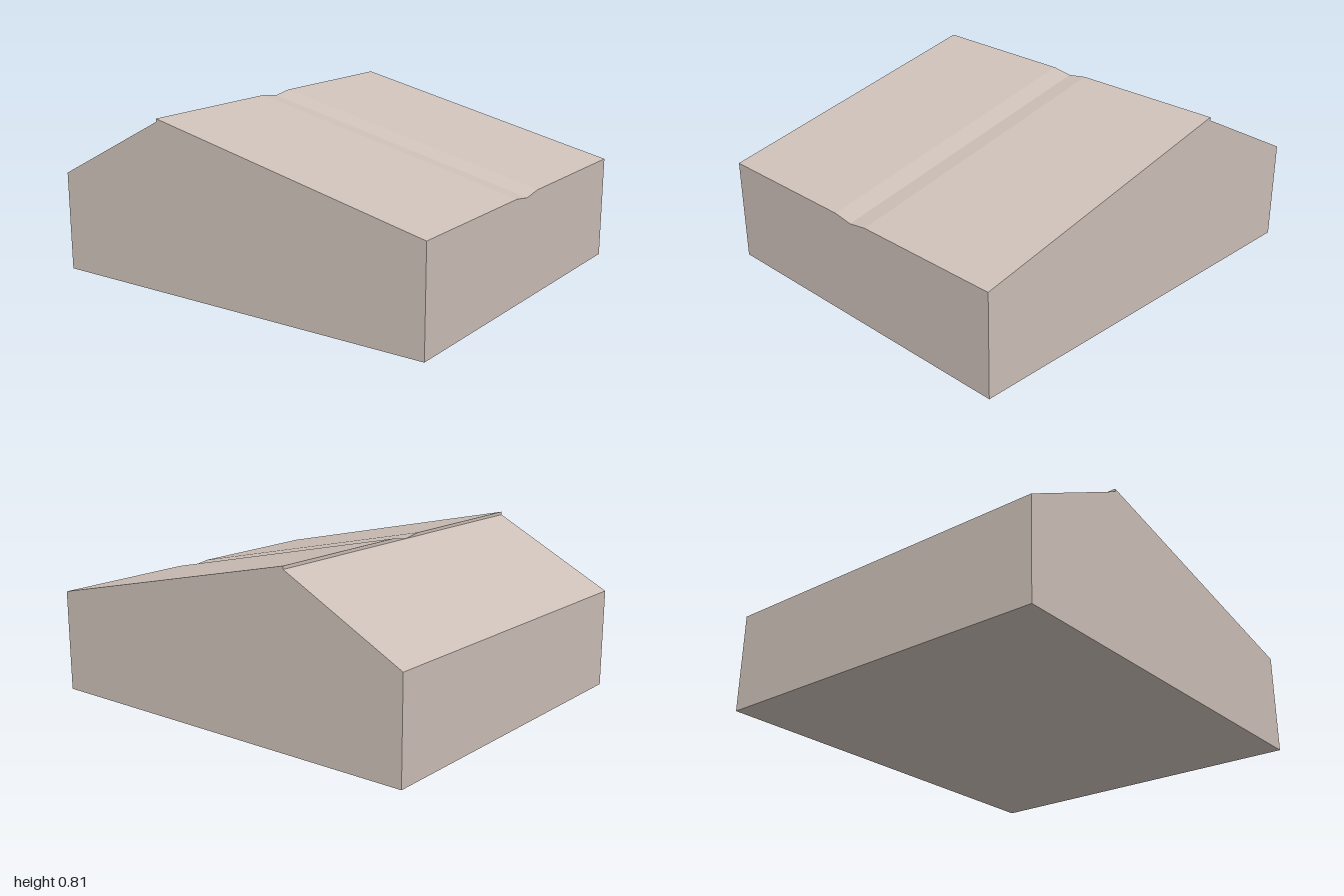
import * as THREE from 'three';

const HALF_Z = 0.85, RIDGE_X = -0.4, RIDGE_Y = 0.81, EAVE_Y = 0.495, STEP = 0.015;

function extrude(points, depth) {
  const shape = new THREE.Shape(points.map(([x, y]) => new THREE.Vector2(x, y)));
  return new THREE.ExtrudeGeometry(shape, { depth, bevelEnabled: false });
}

export function createModel() {
  const model = new THREE.Group();
  const stone = new THREE.MeshStandardMaterial({ color: 0xcdc0b8 });
  stone.name = 'warm grey';

  function add(name, geometry) {
    const mesh = new THREE.Mesh(geometry, stone);
    mesh.name = name;
    model.add(mesh);
  }

  // Short steep side, meeting the ridge one small step below its top
  const steep = extrude([
    [-1, 0], [RIDGE_X, 0], [RIDGE_X, RIDGE_Y - STEP], [-1, EAVE_Y - STEP],
  ], 2 * HALF_Z);
  steep.translate(0, 0, -HALF_Z);
  add('steepSide', steep);

  // Long gentle side: grooved cross-section run along x
  const length = 1 - RIDGE_X;
  const gentle = extrude([
    [-HALF_Z, 0], [HALF_Z, 0], [HALF_Z, EAVE_Y], [0.1, EAVE_Y],
    [0, EAVE_Y - STEP], [-0.1, EAVE_Y], [-HALF_Z, EAVE_Y],
  ], length);
  gentle.rotateY(Math.PI / 2);
  gentle.translate(RIDGE_X, 0, 0);

  // Raise the top edge towards the ridge
  const pos = gentle.attributes.position;
  for (let i = 0; i < pos.count; i++) {
    if (pos.getY(i) > 0.1) {
      const rise = (RIDGE_Y - EAVE_Y) * (1 - pos.getX(i)) / length;
      pos.setY(i, pos.getY(i) + rise);
    }
  }
  gentle.computeVertexNormals();
  add('groovedGentleSide', gentle);

  return model;
}
